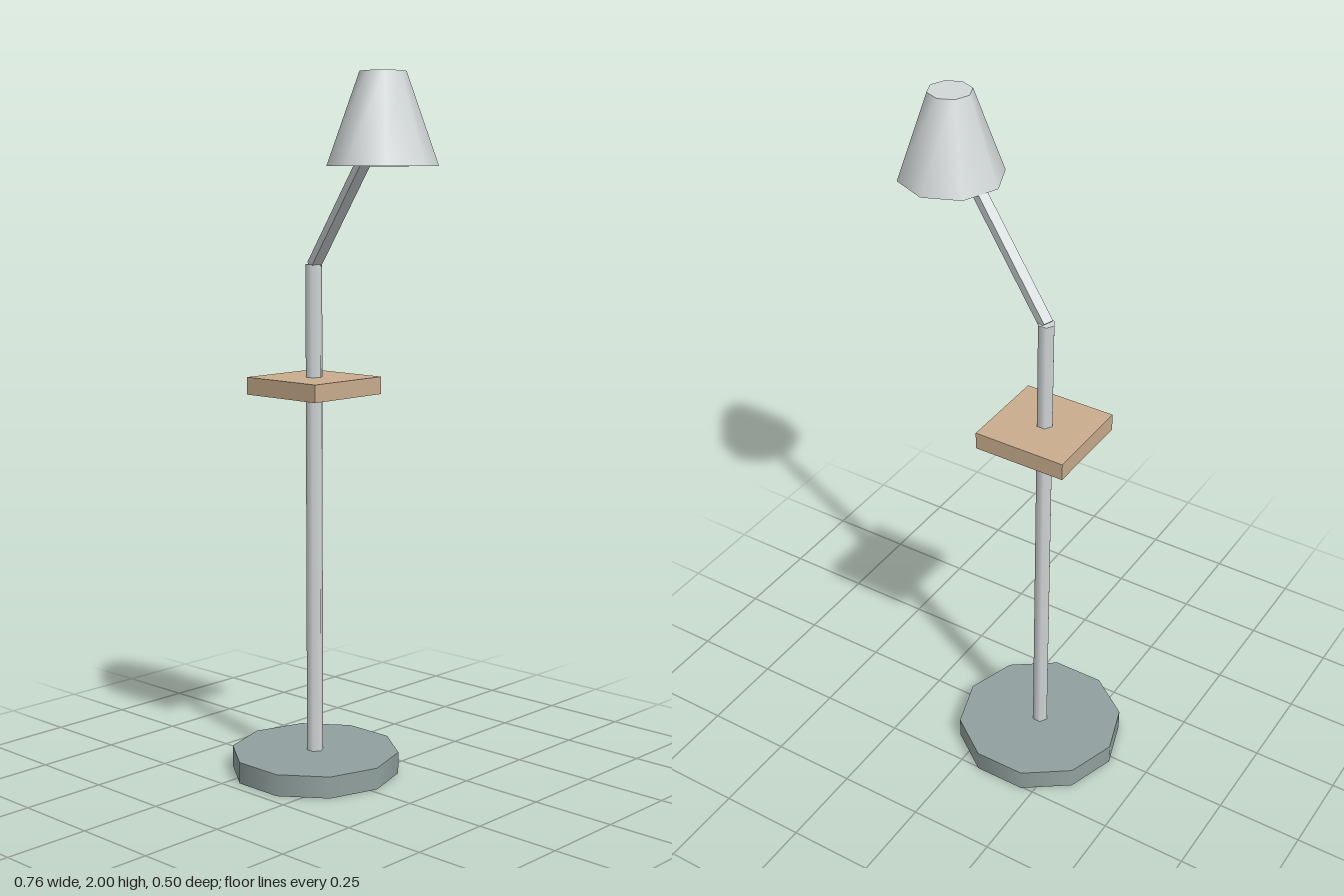
import * as THREE from 'three';

export function createModel() {
  const model = new THREE.Group();
  const mat = (name, color) => {
    const m = new THREE.MeshStandardMaterial({ color });
    m.name = name;
    return m;
  };
  const metal = mat('pale metal', 0xd2d7d7);
  const stone = mat('grey green base', 0x91a19e);
  const wood = mat('light wood', 0xc9ac8d);

  const add = (name, geometry, material, x, y, z) => {
    const mesh = new THREE.Mesh(geometry, material);
    mesh.name = name;
    mesh.position.set(x, y, z);
    model.add(mesh);
    return mesh;
  };
  // Upright prism or cone with a corner pointing along +x
  const column = (rTop, rBottom, y0, y1, sides) =>
    new THREE.CylinderGeometry(rTop, rBottom, y1 - y0, sides)
      .rotateY(Math.PI / 2).translate(0, (y0 + y1) / 2, 0);

  const px = -0.1375, pz = -0.02; // pole axis
  const sx = 0.233, sz = 0.103;   // shade axis

  // Stand
  add('base', column(0.246, 0.246, 0, 0.063, 10), stone, px, 0, pz);
  add('pole', column(0.0245, 0.0245, 0.063, 1.485, 6), metal, px, 0, pz);
  add('shelf', new THREE.BoxGeometry(0.27, 0.05, 0.27), wood, px, 1.14, pz);

  // Slanted arm from the pole top into the shade
  const start = new THREE.Vector3(px, 1.482, pz);
  const end = new THREE.Vector3(sx, 1.87, sz);
  const mid = start.clone().add(end).multiplyScalar(0.5);
  const arm = add('arm', new THREE.BoxGeometry(0.031, 0.026, start.distanceTo(end)),
    metal, mid.x, mid.y, mid.z);
  arm.lookAt(end);

  // Closed conical lamp shade
  add('shade', column(0.061, 0.147, 1.757, 2, 8), metal, sx, 0, sz);

  return model;
}
